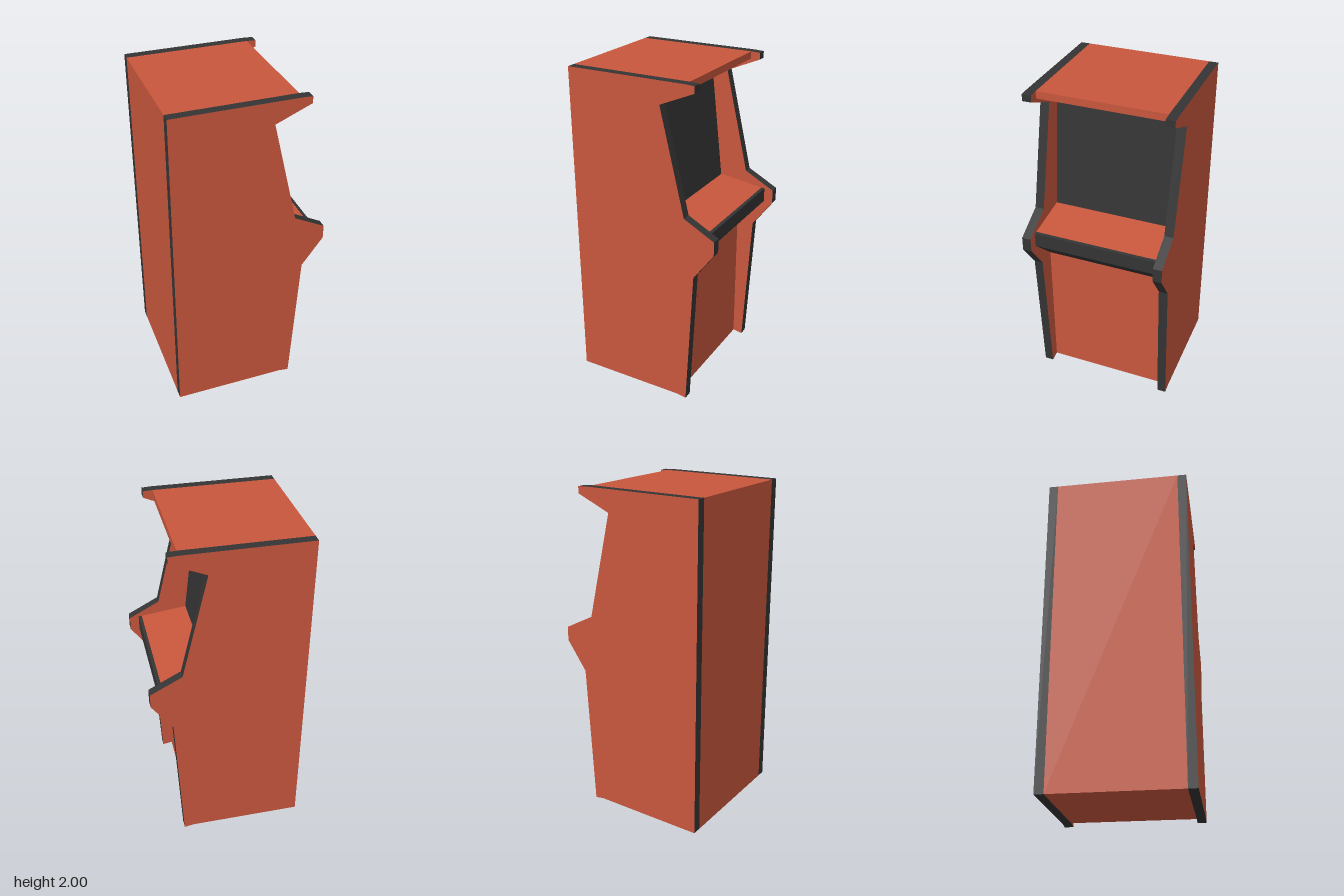
import * as THREE from 'three';

const red = new THREE.MeshStandardMaterial({ color: 0xc9573d });
const dark = new THREE.MeshStandardMaterial({ color: 0x343434 });

const INNER = 0.38;  // half width between the side panels
const OUTER = 0.435; // half width over the side panels

// Side profile in x/y, extruded along z from z0 to z1
function prism(name, points, z0, z1, materials) {
  const shape = new THREE.Shape(points.map(([x, y]) => new THREE.Vector2(x, y)));
  const geometry = new THREE.ExtrudeGeometry(shape, { depth: z1 - z0, bevelEnabled: false });
  geometry.translate(0, 0, z0);
  const mesh = new THREE.Mesh(geometry, materials);
  mesh.name = name;
  return mesh;
}

export function createModel() {
  const group = new THREE.Group();
  group.name = 'arcadeCabinet';

  // Side panels: coloured faces with a dark edge trim
  const panel = [
    [-0.465, 0.01], [0.225, 0.01], [0.287, 0], [0.335, 0.875], [0.462, 1.05], [0.462, 1.135],
    [0.272, 1.235], [0.122, 1.868], [0.332, 1.957], [0.332, 1.997], [0.275, 2], [-0.465, 2],
  ];
  group.add(prism('leftSidePanel', panel, INNER, OUTER, [red, dark]));
  group.add(prism('rightSidePanel', panel, -OUTER, -INNER, [red, dark]));

  // Cabinet body with control deck top and marquee, cut back where the dark parts sit
  const body = [
    [-0.465, 0.01], [0.225, 0.01], [0.225, 0.88], [0.205, 0.88], [0.385, 1.06], [0.385, 1.142],
    [0.097, 1.177], [0.077, 1.177], [0.0, 1.87], [0.02, 1.87], [0.275, 1.957], [0.275, 2], [-0.465, 2],
  ];
  group.add(prism('cabinetBody', body, -INNER, INNER, red));

  // Screen, leaning slightly back
  const screen = [[0.077, 1.177], [0.097, 1.177], [0.02, 1.87], [0.0, 1.87]];
  group.add(prism('screen', screen, -INNER, INNER, dark));

  // Front lip and sloping underside of the control deck
  const lip = [[0.205, 0.88], [0.225, 0.88], [0.405, 1.052], [0.405, 1.14], [0.385, 1.142], [0.385, 1.06]];
  group.add(prism('controlDeckLip', lip, -INNER, INNER, dark));

  return group;
}
